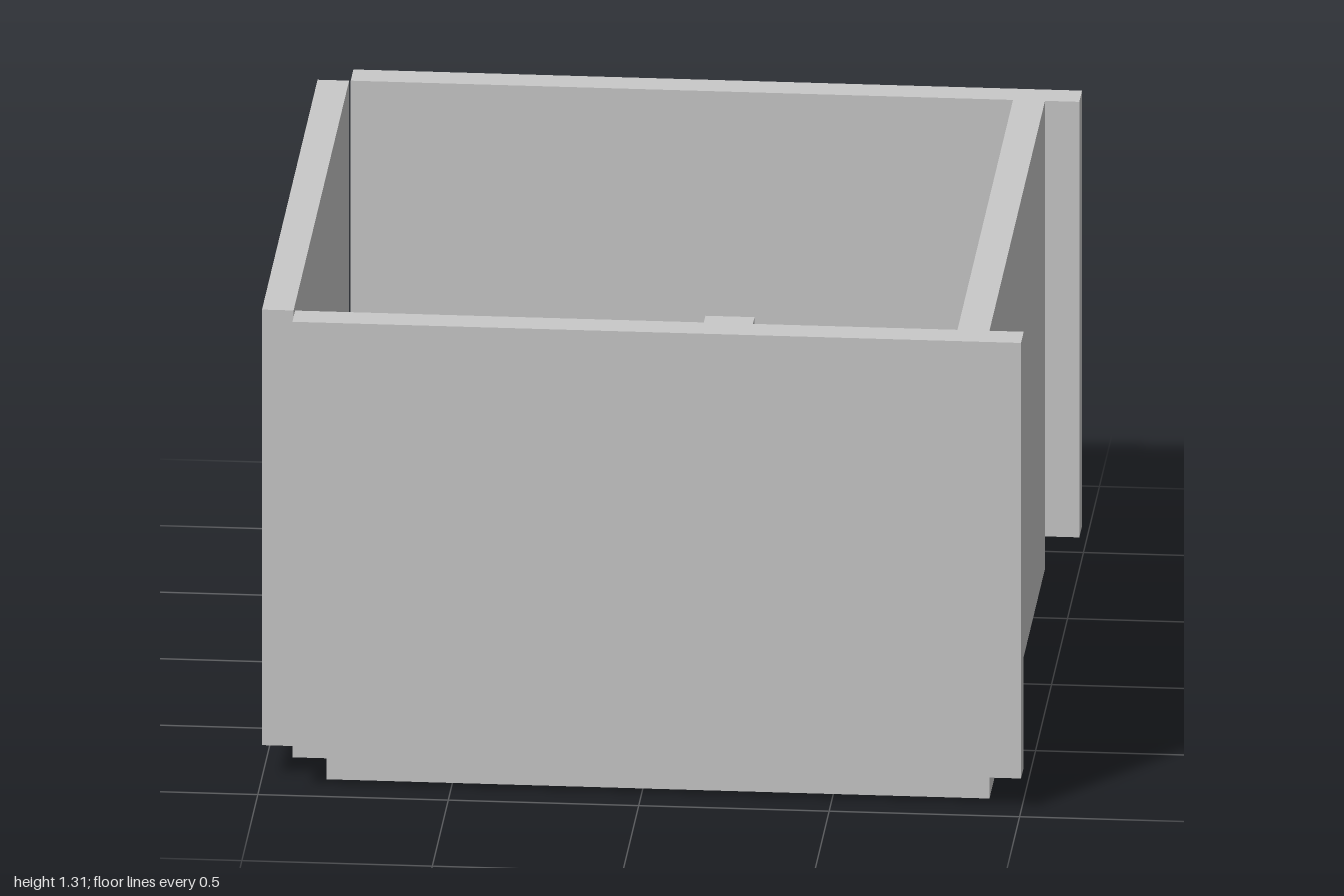
import * as THREE from 'three';

export function createModel() {
  const model = new THREE.Group();
  model.name = 'kitchenRoom';
  const grey = new THREE.MeshStandardMaterial({ color: 0xc8c8c8 });
  grey.name = 'light grey';

  // Box given by its limits on each axis
  function box(name, [x0, x1], [y0, y1], [z0, z1], parent = model) {
    const mesh = new THREE.Mesh(new THREE.BoxGeometry(x1 - x0, y1 - y0, z1 - z0), grey);
    mesh.position.set((x0 + x1) / 2, (y0 + y1) / 2, (z0 + z1) / 2);
    mesh.name = name;
    parent.add(mesh);
    return mesh;
  }

  const floorTop = 0.09, wallTop = 1.305, inner = 0.87, outer = 0.955;
  const wallY = [floorTop, wallTop];

  // Floor slab and the four offset wall panels
  box('floor', [-0.83, 0.826], [0, floorTop], [-inner, inner]);
  box('frontWall', [-0.913, 1], wallY, [inner, outer]);
  box('backWall', [-0.913, 1], wallY, [-outer, -inner]);
  box('rightWall', [-1, -0.917], wallY, [-inner, inner]);
  box('leftWall', [0.826, 0.91], [0, wallTop], [-inner, inner]);

  // Counter and wall cupboards along the inside of the front wall
  box('counter', [-0.87, 0.826], [floorTop, 0.505], [0.65, inner]);
  box('wallCupboards', [-0.87, 0.826], [0.79, 1.138], [0.76, inner]);

  // Extractor hood with its flue
  const hood = new THREE.Group();
  hood.name = 'extractorHood';
  model.add(hood);
  box('hoodCanopy', [0.045, 0.388], [0.745, 0.825], [0.67, 0.76], hood);
  box('hoodFlue', [0.152, 0.281], [0.825, 1.27], [0.725, 0.832], hood);

  // Island with two round stools tucked against it
  box('island', [-0.262, 0.605], [floorTop, 0.5], [-0.438, 0.085]);
  for (const x of [-0.045, 0.39]) {
    const height = 0.28;
    const stool = new THREE.Mesh(new THREE.CylinderGeometry(0.084, 0.094, height, 32), grey);
    stool.position.set(x, floorTop + height / 2, -0.438);
    stool.name = 'stool';
    model.add(stool);
  }
  return model;
}
